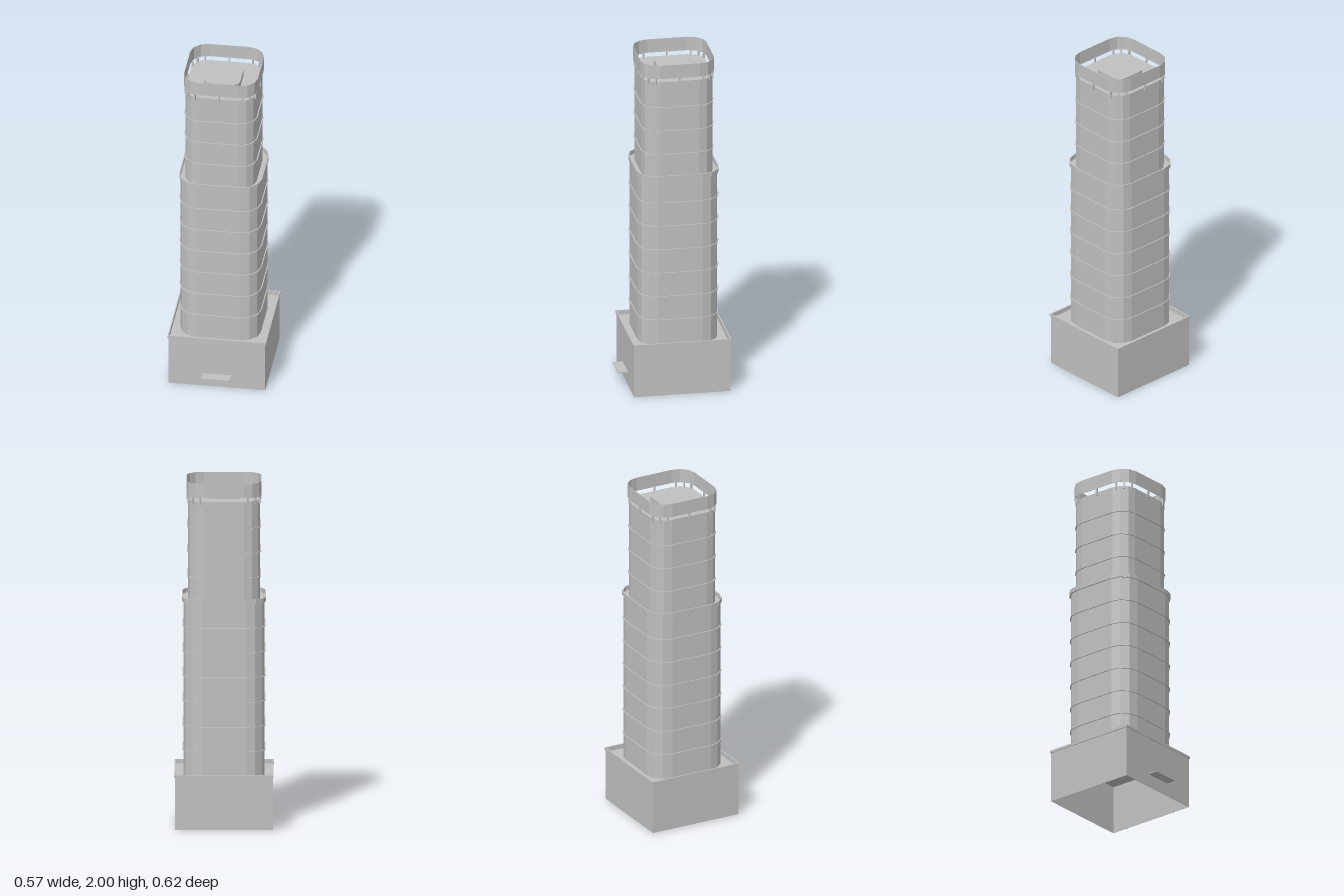
import * as THREE from 'three';

const concrete = new THREE.MeshStandardMaterial({ color: 0xc0c0c0 });
concrete.name = 'concrete grey';
concrete.flatShading = true;
concrete.side = THREE.DoubleSide;

// Plan outline: a square whose corners are cut into three facets
function plan(half, radius) {
  const c = half - radius, points = [];
  for (let q = 0; q < 4; q++) {
    const cx = q === 0 || q === 3 ? c : -c;
    const cy = q < 2 ? c : -c;
    for (let i = 0; i <= 3; i++) {
      const a = (q + i / 3) * Math.PI / 2;
      points.push(new THREE.Vector2(cx + radius * Math.cos(a), cy + radius * Math.sin(a)));
    }
  }
  return points;
}

function squarePlan(h) {
  return [[h, h], [-h, h], [-h, -h], [h, -h]].map(([x, y]) => new THREE.Vector2(x, y));
}

// Raise an outline (with an optional hole) from y0 to y1
function raise(outline, y0, y1, hole) {
  const shape = new THREE.Shape(outline);
  if (hole) shape.holes.push(new THREE.Path(hole));
  const geometry = new THREE.ExtrudeGeometry(shape, { depth: y1 - y0, bevelEnabled: false });
  return geometry.rotateX(-Math.PI / 2).translate(0, y0, 0);
}

export function createModel() {
  const model = new THREE.Group();
  model.name = 'tower';
  const building = new THREE.Group();
  building.name = 'building';
  building.position.z = -0.027;
  model.add(building);

  function add(name, geometry, parent = building) {
    const mesh = new THREE.Mesh(geometry, concrete);
    mesh.name = name;
    parent.add(mesh);
    return mesh;
  }

  // Podium: hollow and open below, with a thin cornice above the roof
  add('podiumWalls', raise(squarePlan(0.28), 0, 0.31, squarePlan(0.278)));
  add('podiumRoof', raise(squarePlan(0.279), 0.289, 0.293));
  add('podiumCornice', raise(squarePlan(0.285), 0.305, 0.32, squarePlan(0.278)));

  // Entrance canopy
  add('entranceCanopy', new THREE.BoxGeometry(0.166, 0.005, 0.06).translate(0, 0.08, 0.309));

  // Two shafts and the rim around the setback terrace
  add('lowerShaft', raise(plan(0.232, 0.106), 0.291, 1.305));
  add('terraceRim', raise(plan(0.24, 0.113), 1.305, 1.33, plan(0.234, 0.107)));
  add('terraceRimSoffit', raise(plan(0.239, 0.112), 1.304, 1.308, plan(0.231, 0.105)));
  add('upperShaft', raise(plan(0.206, 0.092), 1.3, 1.896));

  // Thin floor bands around the shafts
  const bands = new THREE.Group();
  bands.name = 'floorBands';
  building.add(bands);
  for (let i = 0; i < 10; i++) {
    if (i === 6) continue;
    const half = i < 6 ? 0.232 : 0.206, radius = i < 6 ? 0.106 : 0.092;
    const y = 0.444 + i * 0.1437;
    add('floorBand', raise(plan(half + 0.006, radius + 0.006), y - 0.003, y + 0.003,
      plan(half - 0.002, radius - 0.002)), bands);
  }

  // Crown screen standing clear of the roof
  const crownOutline = plan(0.214, 0.099);
  add('crownScreen', raise(crownOutline, 1.918, 2, plan(0.212, 0.097)));

  // One bracket at the middle of every crown facet
  const brackets = new THREE.Group();
  brackets.name = 'crownBrackets';
  building.add(brackets);
  crownOutline.forEach((p, i) => {
    const q = crownOutline[(i + 1) % crownOutline.length];
    const mid = p.clone().add(q).multiplyScalar(0.5);
    const angle = Math.atan2(q.y - p.y, q.x - p.x);
    const inward = new THREE.Vector2(-Math.sin(angle), Math.cos(angle)).multiplyScalar(0.005);
    const bracket = add('crownBracket', new THREE.BoxGeometry(0.008, 0.045, 0.011), brackets);
    bracket.position.set(mid.x + inward.x, 1.9, -(mid.y + inward.y));
    bracket.rotation.y = angle;
  });

  // Plant room on the roof
  add('plantRoom', raise(plan(0.103, 0.043), 1.89, 1.935));

  return model;
}
